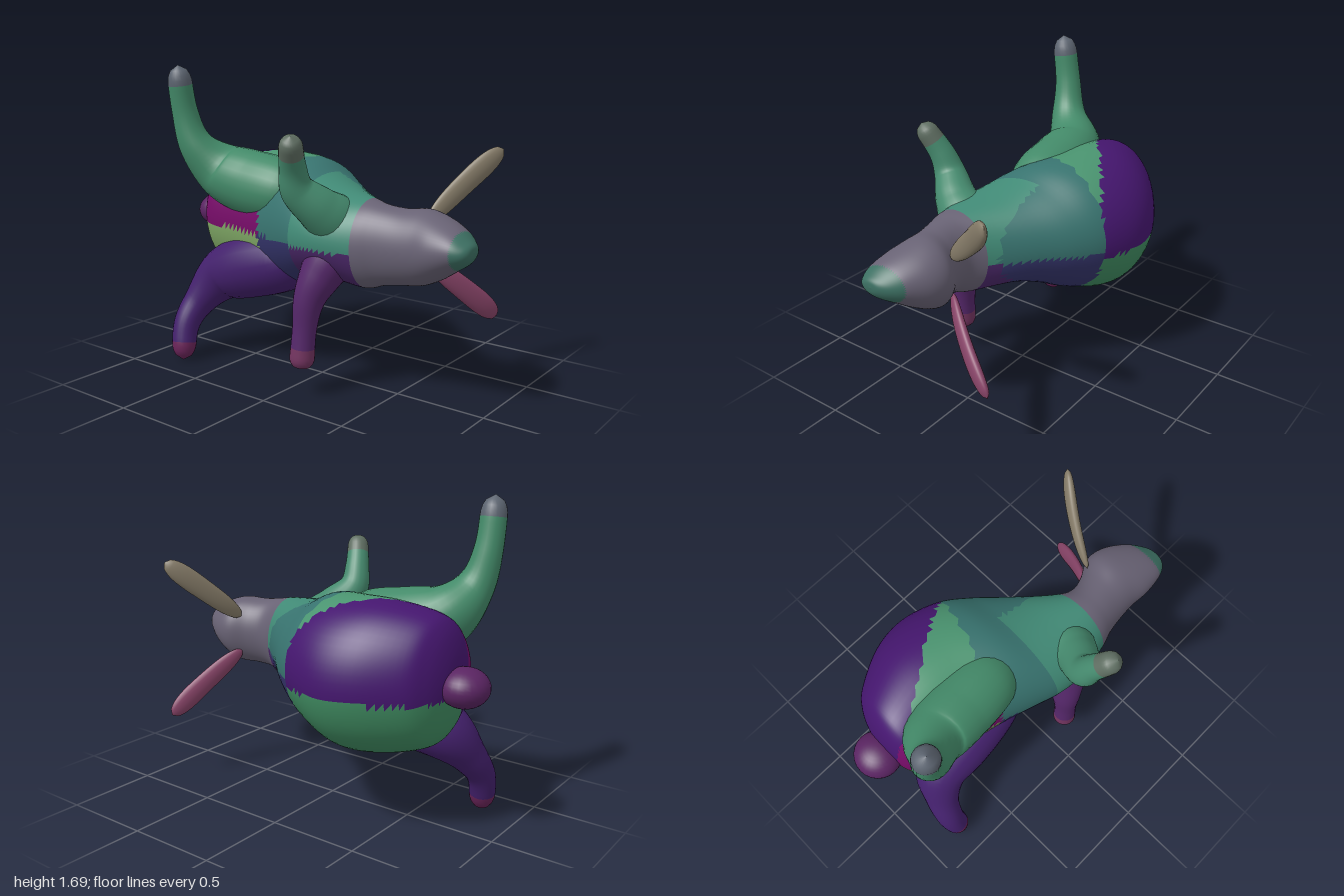
import * as THREE from 'three';

const V = (x, y, z) => new THREE.Vector3(x, y, z);

// Closed-ring grid: point(u, angle) swept from u = 0 to 1
function loft(rings, sides, point) {
  const pos = [], idx = [];
  for (let i = 0; i <= rings; i++) {
    for (let j = 0; j < sides; j++) pos.push(...point(i / rings, (j / sides) * Math.PI * 2));
  }
  for (let i = 0; i < rings; i++) {
    for (let j = 0; j < sides; j++) {
      const k = (j + 1) % sides, a = i * sides + j, b = i * sides + k, c = a + sides, d = b + sides;
      idx.push(a, b, c, b, d, c);
    }
  }
  const g = new THREE.BufferGeometry();
  g.setAttribute('position', new THREE.Float32BufferAttribute(pos, 3));
  g.setIndex(idx);
  g.computeVertexNormals();
  return g;
}

// Split a surface into coloured patches; rule(x, y, z) names the patch
function patches(name, geometry, colors, rule) {
  const group = new THREE.Group();
  group.name = name;
  const p = geometry.attributes.position, index = geometry.index.array, lists = {};
  for (let i = 0; i < index.length; i += 3) {
    const c = V(0, 0, 0);
    for (let k = 0; k < 3; k++) c.add(new THREE.Vector3().fromBufferAttribute(p, index[i + k]));
    c.divideScalar(3);
    (lists[rule(c.x, c.y, c.z)] ??= []).push(index[i], index[i + 1], index[i + 2]);
  }
  for (const key in lists) {
    const g = new THREE.BufferGeometry();
    g.setAttribute('position', p);
    g.setAttribute('normal', geometry.attributes.normal);
    g.setIndex(lists[key]);
    const mesh = new THREE.Mesh(g, new THREE.MeshStandardMaterial({ color: colors[key] }));
    mesh.name = key;
    group.add(mesh);
  }
  return group;
}

const spline = (pts) => new THREE.CatmullRomCurve3(pts, false, 'catmullrom', 0.5);

// Body and head sections: x, lowest y, highest y, back z, belly z
const SECTIONS = [
  [-0.84, 0.82, 0.82, -0.1, -0.1], [-0.825, 0.68, 0.98, -0.22, 0.03],
  [-0.78, 0.55, 1.1, -0.33, 0.1], [-0.7, 0.48, 1.16, -0.42, 0.14],
  [-0.5, 0.43, 1.2, -0.53, 0.17], [-0.3, 0.42, 1.2, -0.56, 0.21],
  [-0.1, 0.48, 1.18, -0.5, 0.28], [0.05, 0.55, 1.12, -0.4, 0.33],
  [0.2, 0.59, 1.08, -0.26, 0.345], [0.4, 0.59, 1.05, -0.08, 0.31],
  [0.5, 0.62, 1.03, -0.03, 0.28], [0.6, 0.635, 1.02, -0.05, 0.265],
  [0.7, 0.645, 1.025, -0.1, 0.26], [0.8, 0.69, 1.0, -0.085, 0.27],
  [0.9, 0.755, 0.96, -0.02, 0.262], [0.96, 0.795, 0.92, 0.045, 0.24],
  [0.99, 0.83, 0.895, 0.1, 0.205], [0.997, 0.865, 0.865, 0.15, 0.15],
];

const BODY_COLORS = {
  nose: 0x3c6f62, head: 0x686274, shoulderUpper: 0x418a76, shoulderLower: 0x4a2768,
  flankUpper: 0x38736f, flankLower: 0x34346a, groinUpper: 0x760c68, groinLower: 0x7fa765,
  backStripe: 0x45166f, rumpUpper: 0x4a9470, rumpLower: 0x3f8a60, thighLower: 0x43226c,
};

function bodyPatch(x, y, z) {
  const upper = y > 0.79;
  if (x > 0.92) return 'nose';
  if (x > 0.4) return 'head';
  if (x > 0.02 && z > -0.12) return upper ? 'shoulderUpper' : 'shoulderLower';
  if (x > -0.22 - 0.3 * z) return upper ? 'flankUpper' : 'flankLower';
  if (z > 0 && Math.abs(y - 0.81) < 0.3) return upper ? 'groinUpper' : 'groinLower';
  if (y > 0.76) return z < -0.7 * (x + 0.72) ? 'backStripe' : 'rumpUpper';
  return z < -0.03 ? 'rumpLower' : 'thighLower';
}

function body() {
  const ys = spline(SECTIONS.map(([x, a, b]) => V(x, a, b)));
  const zs = spline(SECTIONS.map(([x, , , a, b]) => V(x, a, b)));
  const geometry = loft(102, 56, (u, t) => {
    const p = ys.getPoint(u), q = zs.getPoint(u);
    return [p.x,
      (p.y + p.z) / 2 + ((p.z - p.y) / 2) * Math.cos(t),
      (q.y + q.z) / 2 + ((q.z - q.y) / 2) * Math.sin(t)];
  });
  return patches('body', geometry, BODY_COLORS, bodyPatch);
}

// Limb along stations [x, y, z, radius], closed root inside the body, rounded foot
function limb(name, stations, color, footColor) {
  const path = spline(stations.map(([x, y, z]) => V(x, y, z)));
  const radii = spline(stations.map((s, i) => V(s[3], i, 0)));
  const rings = 48, frames = path.computeFrenetFrames(rings, false);
  const geometry = loft(rings, 24, (u, t) => {
    const k = Math.round(u * rings), arc = path.getUtoTmapping(u);
    const end = Math.max(0, (0.18 - u) / 0.18, (u - 0.92) / 0.08);
    const r = radii.getPoint(arc).x * Math.sqrt(Math.max(0, 1 - end * end));
    return path.getPointAt(u)
      .addScaledVector(frames.normals[k], r * Math.cos(t))
      .addScaledVector(frames.binormals[k], r * Math.sin(t)).toArray();
  });
  const foot = V(...stations[stations.length - 1].slice(0, 3));
  return patches(name, geometry, { limb: color, foot: footColor },
    (x, y, z) => (foot.distanceTo(V(x, y, z)) < 0.13 ? 'foot' : 'limb'));
}

// Flat blunt ear, bent back from the root; side = 1 for upper, -1 for lower
function ear(name, side, color) {
  const base = V(0.635, 0.835 + 0.1 * side, -0.04), tip = V(0.845, 0.835 + 0.445 * side, -0.42);
  const axis = tip.clone().sub(base), length = axis.length();
  axis.normalize();
  const wide = V(0, 1, 0).addScaledVector(axis, -axis.y).normalize();
  const thin = wide.clone().cross(axis);
  const bend = side * 0.035;
  const geometry = loft(28, 20, (u, t) => {
    const s = 2 * u - 1, w = (1 - Math.abs(s) ** 3.5) ** 0.5 * (0.88 + 0.12 * s);
    return base.clone().lerp(tip, u)
      .addScaledVector(wide, 0.066 * w * Math.sin(t))
      .addScaledVector(thin, 0.033 * w * Math.cos(t) + bend * (1 - s * s) * length).toArray();
  });
  const mesh = new THREE.Mesh(geometry, new THREE.MeshStandardMaterial({ color }));
  mesh.name = name;
  return mesh;
}

export function createModel() {
  const model = new THREE.Group();
  model.name = 'rabbit';
  model.add(body());

  // Hind legs
  model.add(limb('upperHindLeg', [
    [-0.02, 0.96, 0.0, 0.14], [-0.25, 1.01, 0.04, 0.18], [-0.46, 1.04, 0.06, 0.185],
    [-0.64, 1.1, 0.1, 0.16], [-0.74, 1.24, 0.2, 0.1],
    [-0.785, 1.43, 0.24, 0.073], [-0.79, 1.69, 0.28, 0.067],
  ], 0x438a69, 0x5c6470));
  model.add(limb('lowerHindLeg', [
    [-0.02, 0.7, 0.02, 0.14], [-0.25, 0.62, 0.05, 0.18], [-0.46, 0.56, 0.07, 0.185],
    [-0.65, 0.48, 0.1, 0.155], [-0.75, 0.34, 0.19, 0.098],
    [-0.785, 0.2, 0.28, 0.076], [-0.765, 0.0, 0.335, 0.068],
  ], 0x43206c, 0x6a2459));

  // Front legs
  model.add(limb('upperFrontLeg', [
    [0.24, 0.8, 0.04, 0.14], [0.235, 0.92, 0.19, 0.14], [0.2, 1.0, 0.29, 0.115],
    [0.14, 1.1, 0.38, 0.088], [0.15, 1.22, 0.43, 0.068], [0.205, 1.38, 0.515, 0.056],
  ], 0x458a6e, 0x5f6e62));
  model.add(limb('lowerFrontLeg', [
    [0.24, 0.86, 0.06, 0.14], [0.22, 0.76, 0.18, 0.14], [0.18, 0.64, 0.255, 0.11],
    [0.145, 0.52, 0.3, 0.083], [0.13, 0.36, 0.32, 0.064], [0.12, 0.15, 0.335, 0.068],
  ], 0x55276a, 0x733460));

  // Ears
  model.add(ear('upperEar', 1, 0x857b68));
  model.add(ear('lowerEar', -1, 0x884468));

  // Tail
  const tail = new THREE.Mesh(
    new THREE.SphereGeometry(1, 24, 18),
    new THREE.MeshStandardMaterial({ color: 0x5a2462 }),
  );
  tail.name = 'tail';
  tail.scale.set(0.125, 0.1, 0.13);
  tail.position.set(-0.875, 0.815, -0.115);
  model.add(tail);
  return model;
}
